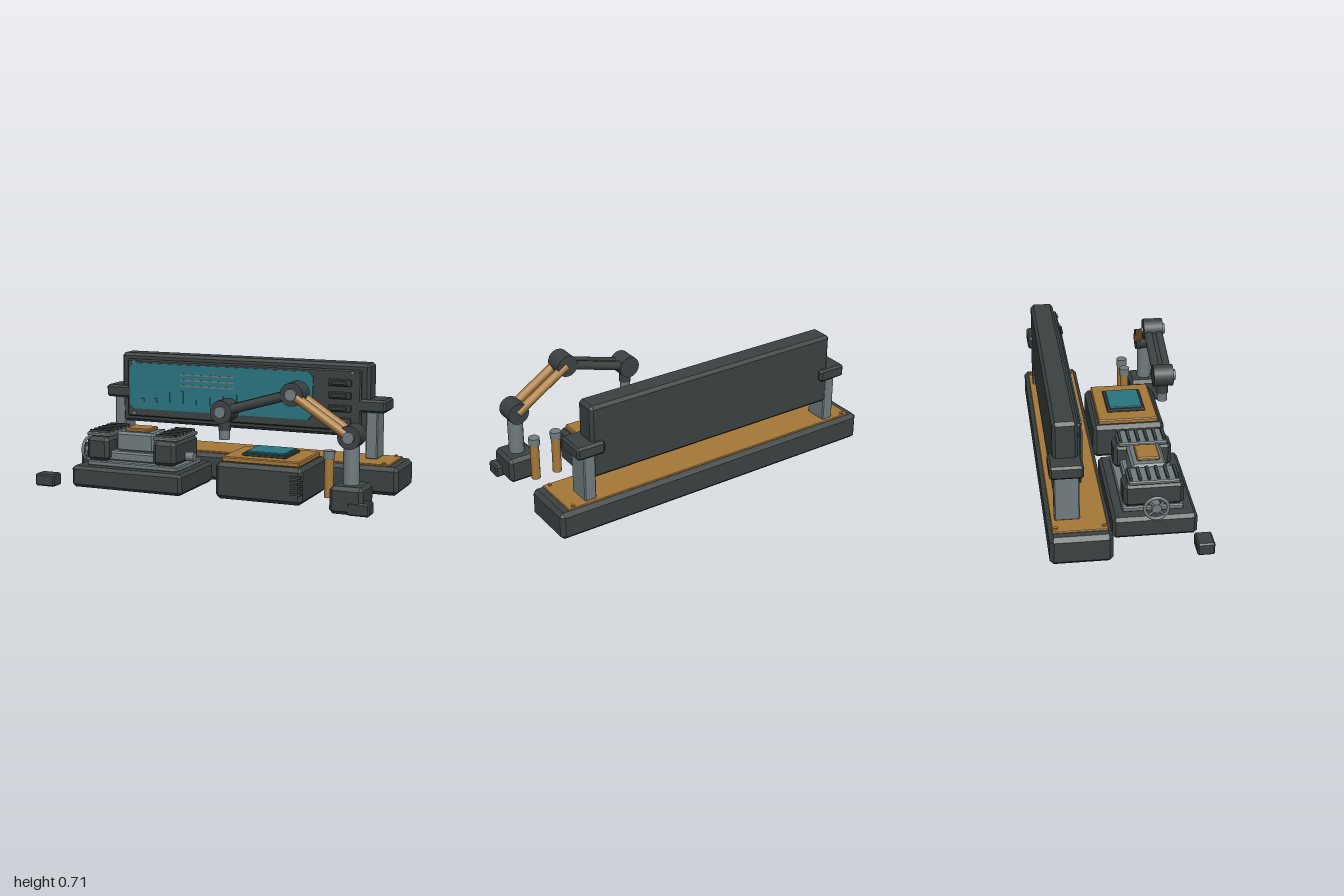
import * as THREE from 'three';
import { ConvexGeometry } from 'three/addons/geometries/ConvexGeometry.js';

const mat = (name, color) => {
  const m = new THREE.MeshStandardMaterial({ color });
  m.name = name;
  return m;
};

export function createModel() {
  const model = new THREE.Group();
  model.name = 'workstation';
  const dark = mat('dark metal', 0x3a4241);
  const gold = mat('brass', 0xa67838);
  const grey = mat('grey steel', 0x707c7f);
  const teal = mat('teal glass', 0x297480);

  const group = (name) => {
    const g = new THREE.Group();
    g.name = name;
    model.add(g);
    return g;
  };
  const put = (parent, name, geometry, material) => {
    const m = new THREE.Mesh(geometry, material);
    m.name = name;
    parent.add(m);
    return m;
  };
  // Box given by its limits, with every edge chamfered by c
  const box = (parent, name, material, [x0, x1], [y0, y1], [z0, z1], c = 0) => {
    const h = [(x1 - x0) / 2, (y1 - y0) / 2, (z1 - z0) / 2];
    let geo;
    if (c > 0) {
      const pts = [];
      for (const a of [-1, 1]) for (const b of [-1, 1]) for (const d of [-1, 1])
        for (let k = 0; k < 3; k++) {
          const p = h.map((v, i) => (i === k ? v : v - c));
          pts.push(new THREE.Vector3(a * p[0], b * p[1], d * p[2]));
        }
      geo = new ConvexGeometry(pts);
    } else geo = new THREE.BoxGeometry(2 * h[0], 2 * h[1], 2 * h[2]);
    const m = put(parent, name, geo, material);
    m.position.set((x0 + x1) / 2, (y0 + y1) / 2, (z0 + z1) / 2);
    return m;
  };
  // Cylinder between two points
  const rod = (parent, name, material, a, b, r, sides = 16) => {
    const p = new THREE.Vector3(...a), q = new THREE.Vector3(...b);
    const d = q.clone().sub(p);
    const m = put(parent, name, new THREE.CylinderGeometry(r, r, d.length(), sides), material);
    m.position.copy(p).add(q).multiplyScalar(0.5);
    m.quaternion.setFromUnitVectors(new THREE.Vector3(0, 1, 0), d.normalize());
    return m;
  };

  // Long plinth with brass deck
  const plinth = group('plinth');
  box(plinth, 'plinthBody', dark, [-1, 1], [0, 0.16], [-0.43, -0.1], 0.022);
  box(plinth, 'deckPlate', gold, [-0.945, 0.945], [0.158, 0.17], [-0.41, -0.12], 0.004);
  for (const x of [-0.91, 0.91]) for (const z of [-0.39, -0.14])
    rod(plinth, 'deckBolt', gold, [x, 0.168, z], [x, 0.178, z], 0.011, 8);

  // Display board on two posts
  const board = group('displayBoard');
  for (const s of [-1, 1]) {
    const span = (a, b) => (s > 0 ? [a, b] : [-b, -a]);
    box(board, 'post', grey, span(0.765, 0.835), [0.168, 0.45], [-0.39, -0.257], 0.006);
    box(board, 'postClamp', dark, span(0.715, 0.883), [0.437, 0.51], [-0.415, -0.237], 0.012);
  }
  box(board, 'boardBody', dark, [-0.785, 0.785], [0.29, 0.71], [-0.39, -0.257], 0.017);
  box(board, 'bezel', dark, [-0.74, 0.74], [0.325, 0.675], [-0.262, -0.237], 0.008);
  for (const x of [-0.69, 0.69]) for (const y of [0.345, 0.66])
    rod(board, 'bezelBolt', grey, [x, y, -0.238], [x, y, -0.229], 0.011, 8);

  // Screen with clipped corners
  const outline = new THREE.Shape();
  const [sx0, sx1, sy0, sy1, k] = [-0.72, 0.455, 0.375, 0.655, 0.03];
  [[sx0 + k, sy0], [sx1 - k, sy0], [sx1, sy0 + k], [sx1, sy1 - k],
    [sx1 - k, sy1], [sx0 + k, sy1], [sx0, sy1 - k], [sx0, sy0 + k]]
    .forEach(([x, y], i) => (i ? outline.lineTo(x, y) : outline.moveTo(x, y)));
  put(board, 'screen', new THREE.ExtrudeGeometry(outline, { depth: 0.009, bevelEnabled: false }), teal)
    .position.z = -0.238;
  for (const y of [0.53, 0.563, 0.596])
    box(board, 'screenLine', grey, [-0.38, -0.035], [y - 0.004, y + 0.004], [-0.23, -0.226]);
  [0.02, 0.025, 0.065, 0.08, 0.03, 0.05, 0.06, 0.075].forEach((h, i) => {
    const x = -0.63 + i * 0.087;
    box(board, 'chartBar', teal, [x - 0.008, x + 0.008], [0.42, 0.42 + h], [-0.23, -0.222]);
  });
  [0.6, 0.527, 0.453, 0.38].forEach((y, i) => {
    box(board, 'buttonSeat', dark, [0.55, 0.685], [y - 0.02, y + 0.02], [-0.24, -0.224], 0.004);
    box(board, 'button', i === 3 ? gold : dark, [0.568, 0.662], [y - 0.011, y + 0.011], [-0.226, -0.212], 0.004);
  });

  // Machine with two ribbed housings and a handwheel
  const machine = group('machine');
  box(machine, 'machineBase', dark, [-0.79, -0.1], [0, 0.122], [-0.08, 0.375], 0.018);
  box(machine, 'machineBed', grey, [-0.72, -0.15], [0.12, 0.15], [-0.02, 0.31], 0.006);
  box(machine, 'saddle', grey, [-0.61, -0.28], [0.148, 0.205], [0.02, 0.27], 0.01);
  box(machine, 'head', grey, [-0.57, -0.33], [0.2, 0.315], [0.05, 0.24], 0.014);
  box(machine, 'headPlate', gold, [-0.525, -0.375], [0.312, 0.335], [0.085, 0.21], 0.006);
  for (const cx of [-0.655, -0.235]) {
    box(machine, 'housing', dark, [cx - 0.07, cx + 0.07], [0.148, 0.288], [-0.015, 0.312], 0.022);
    box(machine, 'housingCover', grey, [cx - 0.078, cx + 0.078], [0.287, 0.31], [0.01, 0.287], 0.006);
    for (let i = 0; i < 6; i++) {
      const z = 0.026 + i * 0.049;
      box(machine, 'coolingRib', dark, [cx - 0.062, cx + 0.062], [0.308, 0.324], [z - 0.008, z + 0.008]);
    }
  }
  rod(machine, 'shaft', grey, [-0.81, 0.185, 0.15], [-0.115, 0.185, 0.15], 0.026);
  const wheel = put(machine, 'handwheel', new THREE.TorusGeometry(0.063, 0.009, 8, 24), grey);
  wheel.rotation.y = Math.PI / 2;
  wheel.position.set(-0.802, 0.185, 0.15);
  for (let i = 0; i < 2; i++) {
    const a = Math.PI * (0.25 + i / 2), y = 0.063 * Math.sin(a), z = 0.063 * Math.cos(a);
    rod(machine, 'wheelSpoke', grey, [-0.802, 0.185 - y, 0.15 - z], [-0.802, 0.185 + y, 0.15 + z], 0.006, 8);
  }

  // Work table with glass pad and side vents
  const table = group('workTable');
  box(table, 'tableBody', dark, [0.088, 0.593], [0, 0.205], [-0.085, 0.335], 0.022);
  box(table, 'tableTop', gold, [0.115, 0.567], [0.203, 0.233], [-0.05, 0.3], 0.006);
  box(table, 'padFrame', dark, [0.21, 0.47], [0.231, 0.248], [0.013, 0.237], 0.004);
  box(table, 'glassPad', teal, [0.226, 0.454], [0.246, 0.258], [0.028, 0.222], 0.003);
  for (let i = 0; i < 5; i++) {
    const y = 0.065 + i * 0.023;
    box(table, 'ventRib', dark, [0.53, 0.59], [y - 0.006, y + 0.006], [0.325, 0.345]);
  }
  rod(table, 'cableDuct', dark, [0.34, 0.057, -0.11], [0.34, 0.057, -0.07], 0.017, 12);

  // Jointed arm
  const arm = group('arm');
  const zc = 0.327;
  const [shoulder, elbow, wrist] = [[0.867, 0.402], [0.548, 0.609], [0.145, 0.492]];
  box(arm, 'armBase', dark, [0.775, 0.96], [0, 0.148], [0.228, 0.428], 0.02);
  rod(arm, 'pillar', grey, [0.867, 0.146, zc], [0.867, 0.38, zc], 0.044);
  for (const [x, y] of [shoulder, elbow, wrist]) {
    rod(arm, 'joint', dark, [x, y, 0.27], [x, y, 0.384], 0.063, 20);
    rod(arm, 'jointCap', grey, [x, y, 0.38], [x, y, 0.4], 0.032);
  }
  for (const z of [0.286, 0.369])
    rod(arm, 'upperArmBar', gold, [...shoulder, z], [...elbow, z], 0.026, 12);
  for (const z of [0.296, 0.358])
    rod(arm, 'forearmBar', dark, [...elbow, z], [...wrist, z], 0.026, 12);
  const web = box(arm, 'forearmWeb', dark, [-0.2, 0.2], [-0.015, 0.015], [-0.03, 0.03]);
  web.position.set((elbow[0] + wrist[0]) / 2, (elbow[1] + wrist[1]) / 2, zc);
  web.rotation.z = Math.atan2(elbow[1] - wrist[1], elbow[0] - wrist[0]);
  rod(arm, 'toolCollar', dark, [0.145, 0.385, zc], [0.145, 0.46, zc], 0.034);
  rod(arm, 'toolTip', grey, [0.145, 0.335, zc], [0.145, 0.39, zc], 0.03);

  // Two capped canisters
  const canisters = group('canisters');
  for (const x of [0.695, 0.83]) {
    rod(canisters, 'canister', gold, [x, 0.03, 0.178], [x, 0.245, 0.178], 0.026);
    rod(canisters, 'canisterCap', grey, [x, 0.242, 0.178], [x, 0.287, 0.178], 0.032);
  }

  // Corner blocks at the front
  for (const s of [-1, 1])
    box(model, 'cornerBlock', dark, s > 0 ? [0.875, 0.997] : [-0.997, -0.875], [0, 0.07], [0.338, 0.43], 0.008);

  return model;
}
